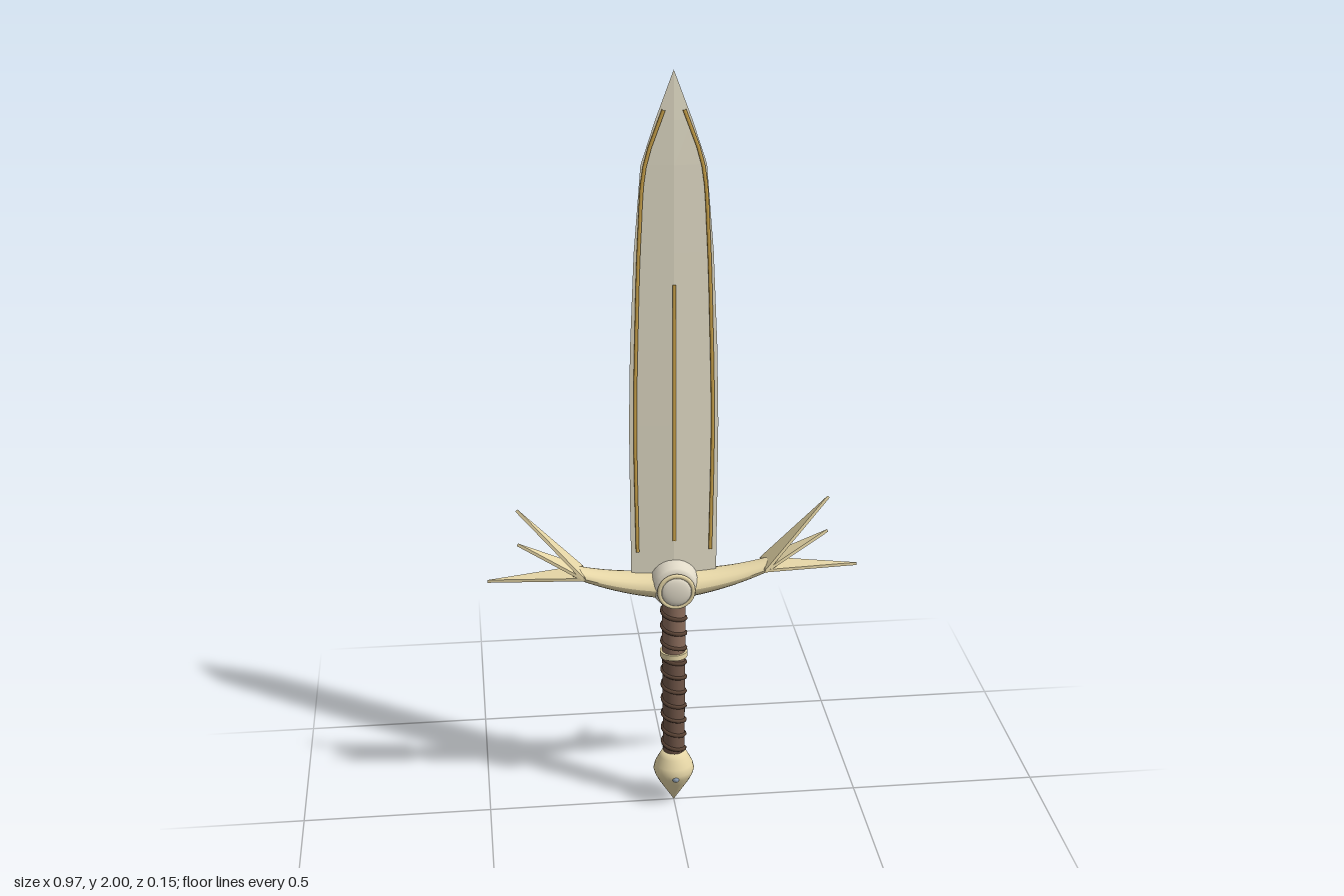
import * as THREE from 'three';

const mat = (name, color, extra = {}) => {
  const m = new THREE.MeshStandardMaterial({ color, ...extra });
  m.name = name;
  return m;
};

export function createModel() {
  const steel = mat('pale steel', 0xe6e0ca, { flatShading: true });
  const gold = mat('gold', 0xcfa64c);
  const ivory = mat('ivory', 0xe8d8a8);
  const stone = mat('pale stone', 0xe2dbc9);
  const leather = mat('brown leather', 0x8a6c5b);
  const wornLeather = mat('deep brown leather', 0x705648);
  const cord = mat('dark cord', 0x584234);
  const gem = mat('blue grey gem', 0x93a4b8);

  const sword = new THREE.Group();
  sword.name = 'sword';
  const add = (name, geometry, material, x = 0, y = 0, z = 0) => {
    const mesh = new THREE.Mesh(geometry, material);
    mesh.name = name;
    mesh.position.set(x, y, z);
    sword.add(mesh);
    return mesh;
  };
  const lathe = (pts, n) => new THREE.LatheGeometry(pts.map(p => new THREE.Vector2(...p)), n);

  // Blade: diamond sections [y, half width, half thickness] tapering to a point
  const sections = [[0.64, 0.111, 0.010], [0.9, 0.113, 0.010], [1.1, 0.114, 0.0095], [1.3, 0.11, 0.009],
    [1.55, 0.099, 0.008], [1.77, 0.081, 0.007], [1.88, 0.045, 0.005], [2, 0, 0]];
  const pos = [], idx = [];
  sections.forEach(([y, w, t], i) => {
    pos.push(w, y, 0, 0, y, t, -w, y, 0, 0, y, -t);
    if (!i) return;
    const a = i * 4 - 4;
    for (let k = 0; k < 4; k++) {
      const n = (k + 1) % 4;
      idx.push(a + k, a + 4 + k, a + n, a + n, a + 4 + k, a + 4 + n);
    }
  });
  const blade = new THREE.BufferGeometry();
  blade.setAttribute('position', new THREE.Float32BufferAttribute(pos, 3));
  blade.setIndex(idx);
  blade.computeVertexNormals();
  add('blade', blade, steel);

  // Gold wires on both faces: one along each edge and one down the centre
  const path = [[0.095, 0.75], [0.099, 1.1], [0.094, 1.35], [0.085, 1.6], [0.071, 1.77], [0.025, 1.905]];
  const rib = new THREE.CylinderGeometry(0.005, 0.005, 0.69, 6);
  for (const f of [-1, 1]) {
    for (const s of [-1, 1]) {
      const curve = new THREE.CatmullRomCurve3(path.map(([x, y]) => new THREE.Vector3(s * x, y, f * 0.0045)));
      add('edgeInlay', new THREE.TubeGeometry(curve, 24, 0.005, 6), gold);
    }
    add('centreRib', rib, gold, 0, 1.125, f * 0.0095);
  }

  // Crossguard: oval bar, thinning and curving upward toward both ends
  const guard = new THREE.CylinderGeometry(1, 1, 2, 20, 24);
  guard.rotateZ(Math.PI / 2);
  const p = guard.attributes.position;
  for (let i = 0; i < p.count; i++) {
    const u = p.getX(i), a = Math.abs(u);
    p.setXYZ(i, u * 0.265, 0.653 + 0.048 * u * u + p.getY(i) * (0.038 - 0.024 * a), p.getZ(i) * (0.054 - 0.026 * a));
  }
  guard.computeVertexNormals();
  add('crossguard', guard, ivory);

  // Three flat pointed plates at each end: [root x, root y, tip x, tip y]
  const quills = [[0.235, 0.695, 0.485, 0.684], [0.235, 0.692, 0.405, 0.784], [0.24, 0.697, 0.405, 0.88]];
  for (const s of [-1, 1]) {
    for (const [x0, y0, x1, y1] of quills) {
      const dx = x1 - x0, dy = y1 - y0, len = Math.hypot(dx, dy);
      const outline = [[-0.042, 0], [0.042, 0], [0, len]].map(q => new THREE.Vector2(...q));
      const plate = new THREE.ExtrudeGeometry(new THREE.Shape(outline), { depth: 0.008, bevelEnabled: false });
      plate.translate(0, 0, -0.004);
      plate.rotateY(Math.PI / 2);
      add('guardQuill', plate, ivory, s * x0, y0, 0).rotation.z = -s * Math.atan2(dx, dy);
    }
  }

  // Barrel-shaped hub with a ringed boss on the front and back
  const hub = lathe([[0, -0.056], [0.044, -0.054], [0.055, -0.046], [0.062, -0.03], [0.064, 0],
    [0.062, 0.03], [0.055, 0.046], [0.044, 0.054], [0, 0.056]], 28);
  hub.rotateX(Math.PI / 2);
  add('hub', hub, stone, 0, 0.661, 0);
  for (const s of [-1, 1]) {
    const disc = new THREE.CylinderGeometry(0.045, 0.045, 0.016, 28);
    disc.rotateX(Math.PI / 2);
    add('bossDisc', disc, stone, 0, 0.657, s * 0.056);
    add('bossRing', new THREE.TorusGeometry(0.044, 0.006, 8, 28), ivory, 0, 0.657, s * 0.06);
    const cap = new THREE.SphereGeometry(0.039, 24, 12);
    cap.scale(1, 1, 0.25);
    add('bossCap', cap, stone, 0, 0.657, s * 0.063);
  }
  add('collar', new THREE.CylinderGeometry(0.052, 0.036, 0.03, 20), stone, 0, 0.615, 0);

  // Two-tone grip with a spiral cord and a metal band
  add('upperGrip', new THREE.CylinderGeometry(0.031, 0.031, 0.16, 20), leather, 0, 0.53, 0);
  add('lowerGrip', new THREE.CylinderGeometry(0.031, 0.029, 0.3, 20), wornLeather, 0, 0.3, 0);
  const helix = [];
  const turns = 10;
  for (let i = 0; i <= turns * 12; i++) {
    const a = i / 12 * Math.PI * 2, f = i / (turns * 12), r = 0.029 + 0.002 * f;
    helix.push(new THREE.Vector3(Math.cos(a) * r, 0.16 + 0.435 * f, Math.sin(a) * r));
  }
  add('gripCord', new THREE.TubeGeometry(new THREE.CatmullRomCurve3(helix), turns * 20, 0.006, 6), cord);
  add('gripBand', new THREE.CylinderGeometry(0.037, 0.037, 0.015, 20), ivory, 0, 0.45, 0);

  // Teardrop pommel with a small gem on the front and back
  add('pommel', lathe([[0, 0], [0.02, 0.032], [0.04, 0.064], [0.051, 0.085], [0.055, 0.1],
    [0.051, 0.117], [0.039, 0.14], [0.03, 0.156], [0, 0.156]], 28), ivory);
  for (const s of [-1, 1]) add('pommelGem', new THREE.SphereGeometry(0.01, 12, 8), gem, 0, 0.09, s * 0.047);

  return sword;
}
